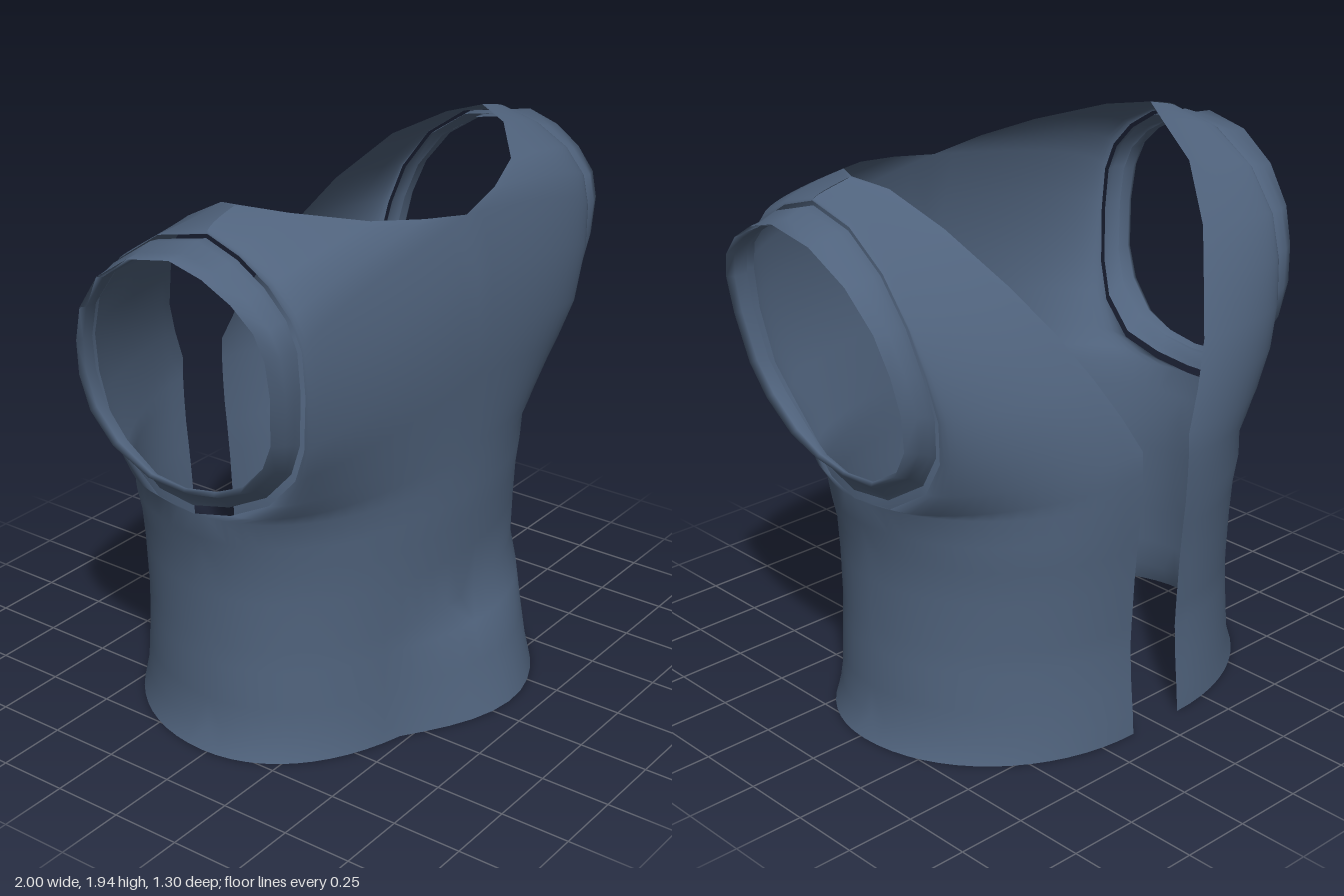
import * as THREE from 'three';
import { mergeGeometries, mergeVertices } from 'three/addons/utils/BufferGeometryUtils.js';

// Armhole edge from the underarm up to the shoulder: front half, then back half
const armFront = [
  [0.80, 0.915, -0.02], [0.78, 0.94, 0.12], [0.745, 1.0, 0.25], [0.75, 1.12, 0.36], [0.78, 1.25, 0.42],
  [0.81, 1.45, 0.45], [0.825, 1.6, 0.45], [0.838, 1.7, 0.42], [0.842, 1.79, 0.34], [0.84, 1.86, 0.23], [0.83, 1.9, 0.1],
];
const armBack = [
  [0.80, 0.915, -0.02], [0.785, 0.925, -0.18], [0.76, 1.02, -0.33], [0.77, 1.15, -0.41], [0.79, 1.3, -0.43],
  [0.82, 1.45, -0.41], [0.84, 1.6, -0.36], [0.845, 1.75, -0.25], [0.84, 1.86, -0.09], [0.83, 1.9, 0.1],
];
// Centre front up to the neckline, and back opening up to the neckline
const neckFront = [
  [0, 0.915, 0.51], [0, 1.0, 0.515], [0, 1.1, 0.52], [0, 1.25, 0.53], [0, 1.4, 0.54],
  [0, 1.62, 0.53], [0, 1.81, 0.48], [0.2, 1.845, 0.455], [0.4, 1.88, 0.39], [0.6, 1.93, 0.23], [0.68, 1.95, 0.09],
];
const neckBack = [
  [0.11, 0.915, -0.65], [0.11, 0.99, -0.652], [0.11, 1.07, -0.65], [0.18, 1.2, -0.62], [0.26, 1.34, -0.57],
  [0.35, 1.5, -0.48], [0.45, 1.65, -0.38], [0.56, 1.82, -0.21], [0.62, 1.92, -0.02], [0.68, 1.95, 0.09],
];
// Lower torso: height, front depth, half width, back depth
const torso = [
  [0.01, 0.51, 0.795, -0.635], [0.09, 0.505, 0.76, -0.63], [0.2, 0.5, 0.755, -0.62], [0.34, 0.495, 0.75, -0.612],
  [0.42, 0.495, 0.745, -0.615], [0.6, 0.5, 0.748, -0.625], [0.72, 0.505, 0.755, -0.635], [0.82, 0.51, 0.78, -0.645],
];

// Triangulate a grid of points; flip reverses the facing
function gridGeometry(rows, flip) {
  const n = rows[0].length, index = [];
  for (let j = 0; j < rows.length - 1; j++) {
    for (let i = 0; i < n - 1; i++) {
      const a = j * n + i, b = a + 1, c = a + n, d = c + 1;
      index.push(...(flip ? [a, d, b, a, c, d] : [a, b, d, a, d, c]));
    }
  }
  const g = new THREE.BufferGeometry();
  g.setAttribute('position', new THREE.Float32BufferAttribute(rows.flat(2), 3));
  g.setIndex(index);
  return g;
}

// Outward fold of the front hem, slightly off centre
function hemFold(x, y) {
  const t = Math.abs(x - 0.14) / 0.46;
  if (t >= 1 || y >= 0.42) return 0;
  const rise = y > 0.34 ? 0.45 * (0.42 - y) / 0.08 : 1 - 0.55 * y / 0.34;
  return 0.15 * rise * Math.cos(t * Math.PI / 2);
}

// One quarter of the body: rounded rows from the centre edge to the side
function panel(front, side) {
  const inner = front ? neckFront : neckBack, outer = front ? armFront : armBack;
  const pairs = torso.map(([y, zf, w, zb]) => [front ? [0, y, zf] : [0.11, y, zb], [w, y, -0.02]]);
  inner.forEach((p, i) => pairs.push([p, outer[i]]));
  const rows = pairs.map(([a, b], r) => {
    const low = Math.max(0, 1 - Math.max(0, r - 7) / 4);
    const k = front ? 0.6 : 0.42 + 0.14 * low;
    const curve = new THREE.CubicBezierCurve3(
      new THREE.Vector3(...a),
      new THREE.Vector3(a[0] + k * (b[0] - a[0]), a[1] + (b[1] - a[1]) / 3, a[2]),
      new THREE.Vector3(b[0], b[1] + (a[1] - b[1]) / 3, b[2] + k * (a[2] - b[2])),
      new THREE.Vector3(...b));
    return curve.getPoints(16).map(p => {
      const x = p.x * side;
      return [x, p.y, p.z + (front ? hemFold(x, p.y) : 0)];
    });
  });
  return gridGeometry(rows, front === (side < 0));
}

// Short sleeve band: rings running outwards from the armhole, then folding back inside
function sleeve(side) {
  const ring = [...armFront, ...armBack.slice(1, -1).reverse()];
  ring.push(ring[0]);
  // outward share, bottom height, vertical scale, depth scale
  const steps = [
    [0, 0.945, 0.955, 0.96], [0.25, 0.965, 0.938, 0.965], [0.6, 0.995, 0.885, 0.955], [1, 1.01, 0.865, 0.91],
    [0.8, 1.022, 0.845, 0.885], [0.4, 1.01, 0.86, 0.89],
  ];
  const rows = steps.map(([t, y0, sy, sz]) => ring.map(([x, y, z]) => {
    const h = y0 + (y - 0.915) * sy;
    const cuff = 0.845 + 0.18 * (h - 1.01);
    return [side * (x + (cuff - x) * t), h, z * sz];
  }));
  const g = mergeVertices(gridGeometry(rows, side > 0));
  g.computeVertexNormals();
  return g;
}

export function createModel() {
  const fabric = new THREE.MeshStandardMaterial({ color: 0x50637d, side: THREE.DoubleSide });
  fabric.name = 'slate blue fabric';
  const group = new THREE.Group();
  group.name = 'openBackTop';
  const add = (name, geometry) => {
    const mesh = new THREE.Mesh(geometry, fabric);
    mesh.name = name;
    group.add(mesh);
  };

  // Body: front and back panels of both sides, welded at the seams
  const parts = [];
  for (const side of [1, -1]) parts.push(panel(true, side), panel(false, side));
  const body = mergeVertices(mergeGeometries(parts), 1e-4);
  body.computeVertexNormals();
  add('body', body);

  // Sleeve bands
  add('leftSleeve', sleeve(1));
  add('rightSleeve', sleeve(-1));
  return group;
}
